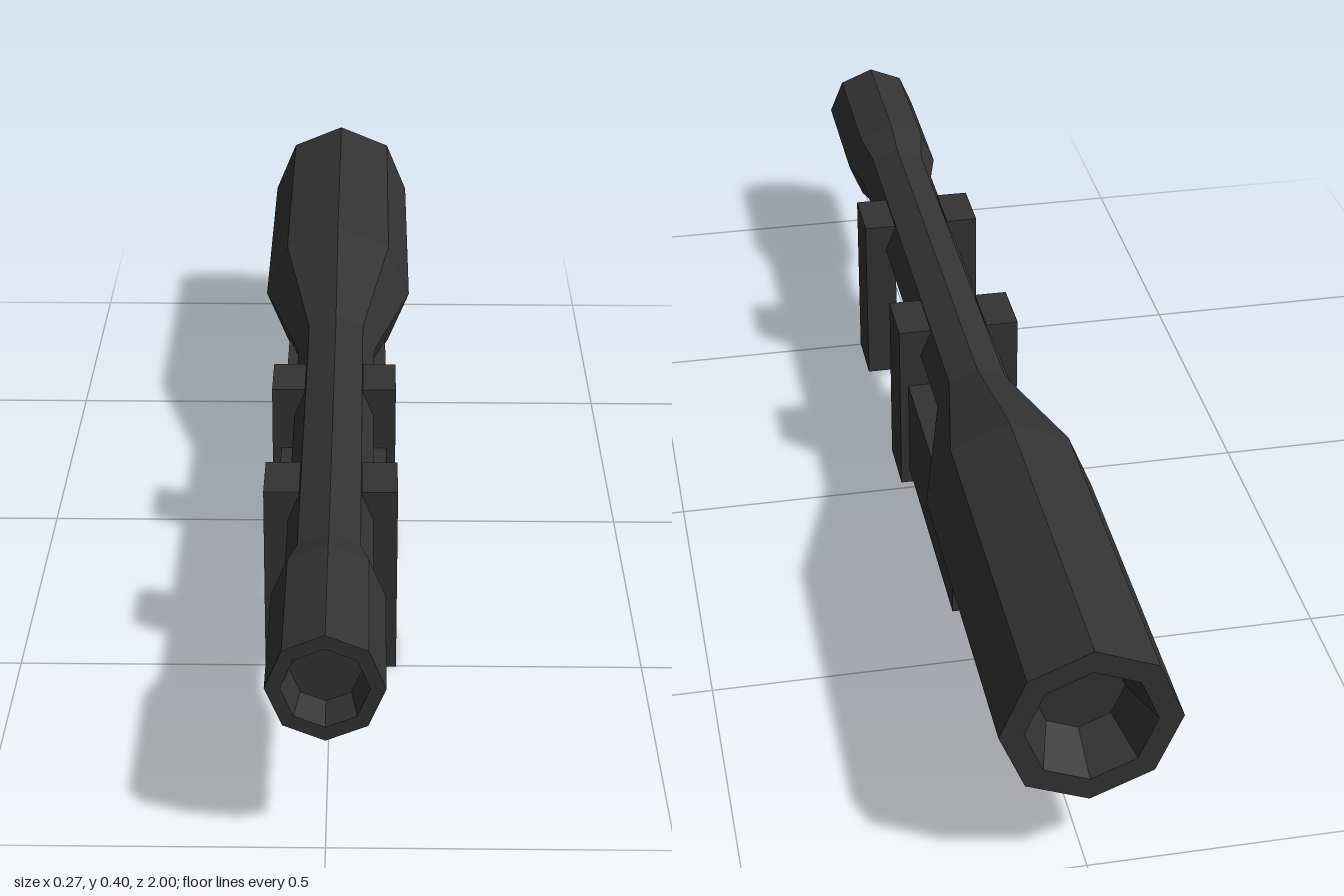
import * as THREE from 'three';

const material = new THREE.MeshStandardMaterial({ color: 0x333333, flatShading: true });

export function createModel() {
  const model = new THREE.Group();
  const add = (name, geometry, x = 0, y = 0, z = 0) => {
    const mesh = new THREE.Mesh(geometry, material);
    mesh.name = name;
    mesh.position.set(x, y, z);
    model.add(mesh);
  };

  // Octagonal tube: [radius, z] from the rear recess, along the outside, to the front recess
  const profile = [
    [0, -0.92], [0.068, -0.92], [0.098, -1], [0.135, -1], [0.135, -0.42],
    [0.068, -0.15], [0.067, 0.67], [0.085, 0.74], [0.085, 1],
    [0.063, 1], [0.051, 0.95], [0, 0.95],
  ].map(([r, z]) => new THREE.Vector2(r, z));
  const tube = new THREE.LatheGeometry(profile, 8);
  tube.rotateX(Math.PI / 2);
  add('launchTube', tube, 0, 0.266, 0);

  // Lower housing: side outline in (z, y), extruded across the width
  const width = 0.18;
  const outline = new THREE.Shape([
    [0.2, 0.028], [0.2, 0.11], [0.212, 0.128], [0.2, 0.143], [0.2, 0.205],
    [-0.34, 0.205], [-0.385, 0.185], [-0.405, 0.15], [-0.405, 0.028],
  ].map(([z, y]) => new THREE.Vector2(z, y)));
  const housing = new THREE.ExtrudeGeometry(outline, { depth: width, bevelEnabled: false });
  housing.translate(0, 0, -width / 2);
  housing.rotateY(-Math.PI / 2);
  add('housing', housing);

  // Two pairs of upright grips
  for (const [pair, z] of [['front', 0.45], ['rear', 0.07]]) {
    for (const [side, s] of [['Left', 1], ['Right', -1]]) {
      add(`${pair}${side}Grip`, new THREE.BoxGeometry(0.056, 0.315, 0.105), s * 0.077, 0.1575, z);
    }
  }
  return model;
}
